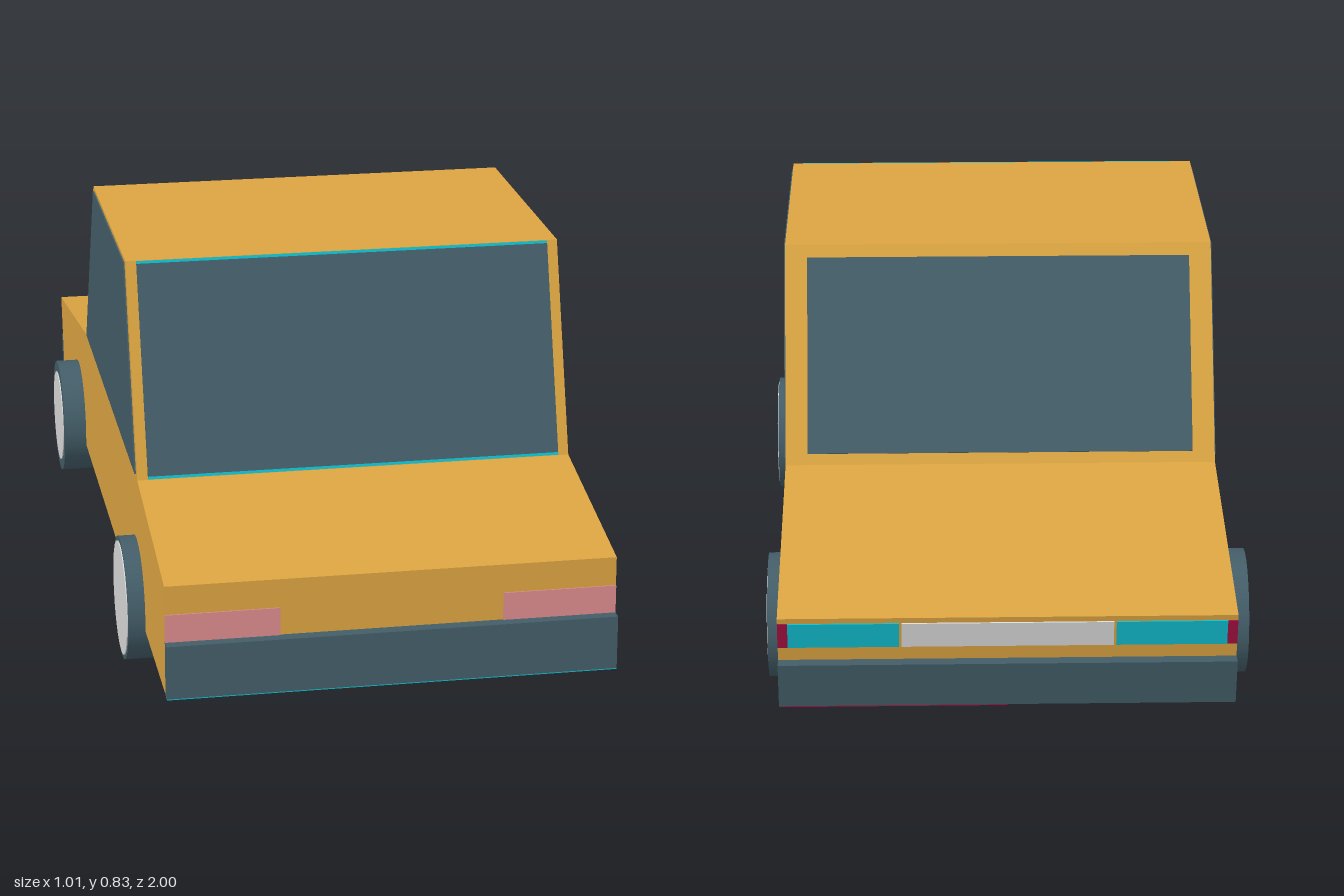
import * as THREE from 'three';

const mat = (name, color) => {
  const m = new THREE.MeshStandardMaterial({ color });
  m.name = name;
  return m;
};

export function createModel() {
  const car = new THREE.Group();
  car.name = 'car';
  const paint = mat('ochre paint', 0xdba441);
  const dark = mat('dark slate', 0x435d68);
  const grey = mat('light grey', 0xdadada);
  const pink = mat('pink lamp', 0xdb8a8c);
  const cyan = mat('cyan lamp', 0x10bccc);
  const red = mat('crimson', 0xa01040);

  const add = (name, geometry, material, parent = car) => {
    const mesh = new THREE.Mesh(geometry, material);
    mesh.name = name;
    parent.add(mesh);
    return mesh;
  };

  // Side profile of [z, y] points, extruded across the car from x0 to x1
  const prism = (name, points, x0, x1, material) => {
    const shape = new THREE.Shape(points.map(([z, y]) => new THREE.Vector2(z, y)));
    const g = new THREE.ExtrudeGeometry(shape, { depth: x1 - x0, bevelEnabled: false });
    g.rotateY(-Math.PI / 2).translate(x1, 0, 0);
    return add(name, g, material);
  };

  // Plate raised by t from the profile line a-b; s and e are the covered fractions
  const plate = (name, a, b, s, e, t, x0, x1, material) => {
    const dz = b[0] - a[0], dy = b[1] - a[1], len = Math.hypot(dz, dy);
    const n = [dy / len * t, -dz / len * t];
    const p = [a[0] + dz * s, a[1] + dy * s], q = [a[0] + dz * e, a[1] + dy * e];
    const off = ([z, y]) => [z + n[0], y + n[1]];
    return prism(name, [p, q, off(q), off(p)], x0, x1, material);
  };

  const W = 0.455;
  const noseLow = [0.975, 0.105], noseTop = [0.975, 0.335];
  const screenLow = [0.56, 0.4], screenTop = [0.415, 0.828];
  const rearTop = [-0.18, 0.818], rearLow = [-0.4, 0.398];
  const tailTop = [-0.993, 0.3], tailLow = [-0.948, 0.105];

  // Body and cabin in one piece
  prism('body', [noseLow, noseTop, screenLow, screenTop, rearTop, rearLow, tailTop, tailLow], -W, W, paint);

  // Windows
  plate('windscreen', screenLow, screenTop, 0.015, 0.985, 0.003, -0.433, 0.433, dark);
  plate('windscreenLowerTrim', screenLow, screenTop, 0.002, 0.015, 0.003, -0.433, 0.433, cyan);
  plate('windscreenUpperTrim', screenLow, screenTop, 0.985, 0.998, 0.003, -0.433, 0.433, cyan);
  plate('rearWindow', rearTop, rearLow, 0.06, 0.95, 0.003, -0.408, 0.408, dark);
  const sideWindow = [[0.537, 0.406], [0.397, 0.82], [-0.166, 0.811], [-0.374, 0.406]];
  prism('leftWindow', sideWindow, W, W + 0.003, dark);
  prism('rightWindow', sideWindow, -W - 0.003, -W, dark);

  // Bumpers with coloured undersides
  prism('frontBumper', [noseLow, [1, 0.105], [1, 0.217], [0.975, 0.217]], -W, W, dark);
  plate('frontBumperUnderside', [0.975, 0.105], [1, 0.105], 0, 1, 0.002, -W, W, cyan);
  prism('rearBumper', [tailLow, [-0.971, 0.203], [-1, 0.203], [-0.977, 0.105]], -W, W, dark);
  plate('rearBumperUnderside', [-0.977, 0.105], tailLow, 0, 1, 0.002, 0, W, red);

  // Lamps, mirrored, and number plate
  for (const s of [1, -1]) {
    const span = (a, b) => (s > 0 ? [a, b] : [-b, -a]);
    plate('headlamp', [0.975, 0.217], [0.975, 0.275], 0, 1, 0.003, ...span(0.225, W), pink);
    plate('tailLamp', tailTop, tailLow, 0.06, 0.34, 0.003, ...span(0.215, 0.435), cyan);
    plate('tailMarker', tailTop, tailLow, 0.06, 0.34, 0.003, ...span(0.435, W), red);
  }
  plate('rearPlate', tailTop, tailLow, 0.06, 0.34, 0.003, -0.21, 0.21, grey);

  // Wheels: outer face x, height, z and hubcap radius
  const wheels = [
    ['leftFrontWheel', 0.503, 0.13, 0.53, 0.12],
    ['rightFrontWheel', -0.49, 0.13, 0.53, 0.12],
    ['leftRearWheel', 0.487, 0.137, -0.587, 0.105],
    ['rightRearWheel', -0.505, 0.137, -0.587, 0.105],
  ];
  for (const [name, x, y, z, hub] of wheels) {
    const wheel = new THREE.Group();
    wheel.name = name;
    wheel.position.set(x, y, z);
    car.add(wheel);
    const s = Math.sign(x);
    const tyre = new THREE.CylinderGeometry(0.13, 0.13, 0.084, 24).rotateZ(Math.PI / 2);
    add('tyre', tyre.translate(-s * 0.042, 0, 0), dark, wheel);
    const cap = new THREE.CylinderGeometry(hub, hub, 0.004, 24).rotateZ(Math.PI / 2);
    add('hubcap', cap, grey, wheel);
  }
  return car;
}
